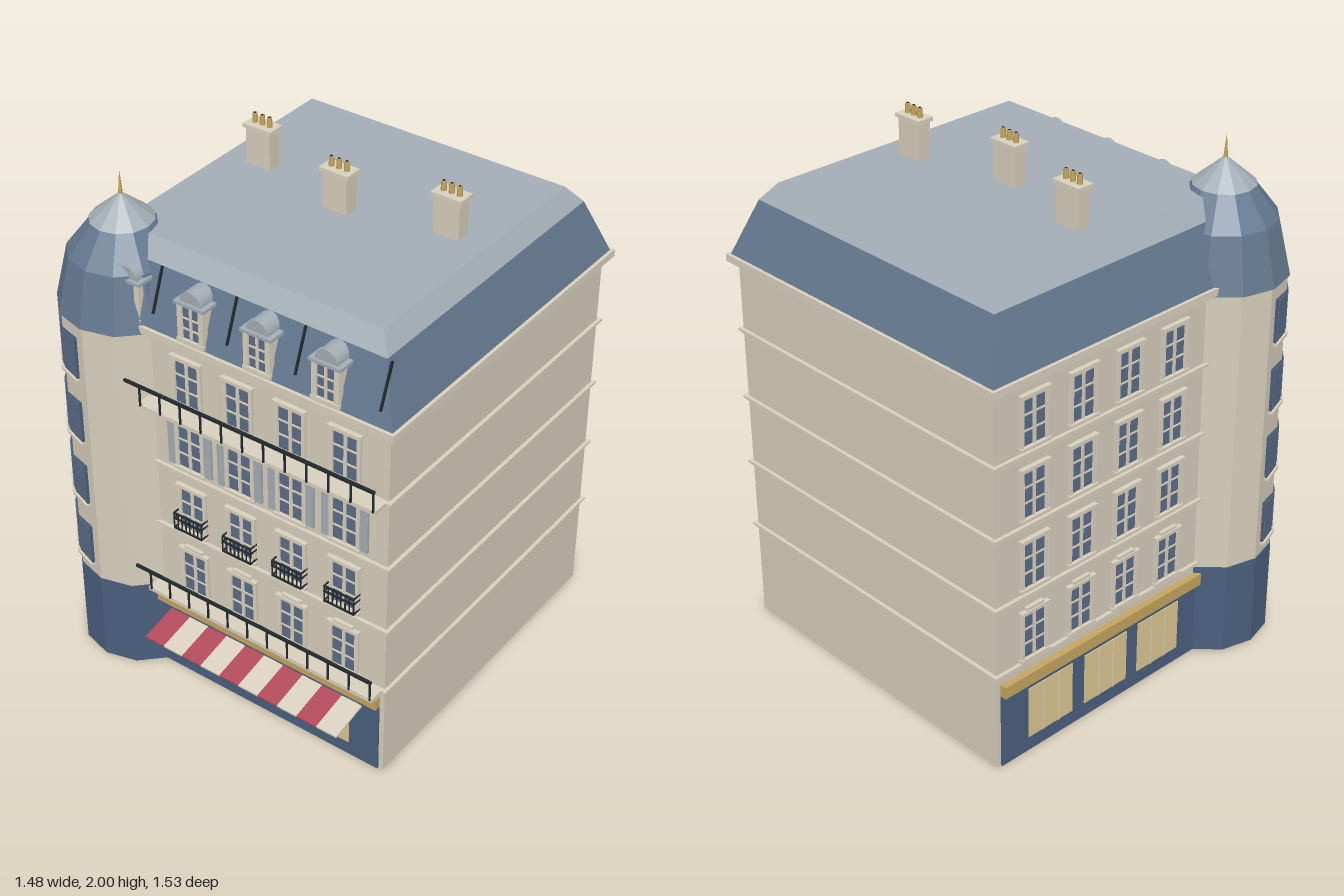
import * as THREE from 'three';

const mat = (name, color) => {
  const m = new THREE.MeshStandardMaterial({ color });
  m.name = name;
  return m;
};

export function createModel() {
  const M = {
    wall: mat('limestone wall', 0xd6cdbb), trim: mat('pale stone trim', 0xd9d0be),
    slate: mat('blue slate', 0x64788f), zinc: mat('zinc', 0xa3adb5),
    glass: mat('window glass', 0x5c6d88), navy: mat('navy shopfront', 0x4a5f7d),
    gold: mat('gold', 0xc4a460), lit: mat('lit shop glass', 0xdcc592),
    red: mat('awning red', 0xb24a5a), iron: mat('black iron', 0x22292d),
  };
  const model = new THREE.Group();
  model.name = 'cornerBuilding';

  const group = (name, parent = model) => {
    const g = new THREE.Group();
    g.name = name;
    parent.add(g);
    return g;
  };
  const add = (parent, name, geo, material, x = 0, y = 0, z = 0) => {
    const m = new THREE.Mesh(geo, material);
    m.name = name;
    m.position.set(x, y, z);
    parent.add(m);
    return m;
  };
  // box given by its limits
  const box = (parent, name, material, x0, x1, y0, y1, z0, z1) =>
    add(parent, name, new THREE.BoxGeometry(x1 - x0, y1 - y0, z1 - z0), material,
      (x0 + x1) / 2, (y0 + y1) / 2, (z0 + z1) / 2);
  const flat = (geo) => {
    const g = geo.toNonIndexed();
    g.computeVertexNormals();
    return g;
  };

  // Main block: square plan around (CX, CZ)
  const CX = 0.049, CZ = -0.077, H = 0.661, FRONT = CZ + H, LEFT = CX - H;
  const slab = (name, material, half, y0, y1) =>
    box(model, name, material, CX - half, CX + half, y0, y1, CZ - half, CZ + half);
  slab('mainWalls', M.wall, H, 0, 1.5);
  for (const y of [0.378, 0.655, 0.933, 1.212]) {
    slab('stringCourse', M.trim, H + 0.008, y, y + 0.008);
    slab('stringCourse', M.trim, H + 0.014, y + 0.008, y + 0.018);
  }
  slab('cornice', M.trim, H + 0.031, 1.497, 1.525);

  // Mansard roof: two square frustums
  const frustum = (name, material, h0, h1, y0, y1) => {
    const g = new THREE.CylinderGeometry(h1 * Math.SQRT2, h0 * Math.SQRT2, y1 - y0, 4);
    g.rotateY(Math.PI / 4);
    add(model, name, flat(g), material, CX, (y0 + y1) / 2, CZ);
  };
  frustum('mansardSlope', M.slate, 0.679, 0.6, 1.525, 1.735);
  frustum('upperRoof', M.zinc, 0.6, 0.549, 1.735, 1.8);

  // One tall window: s across, base height y, local z pointing outwards
  const windowAt = (parent, s, y, floor, shutters) => {
    const w = group('window', parent), h = 0.19, a = 0.063;
    w.position.set(s, y, 0);
    box(w, 'glass', M.glass, -0.052, 0.052, 0, h, -0.01, 0.004);
    for (const k of [-1, 1]) box(w, 'jamb', M.trim, k * 0.056 - 0.007, k * 0.056 + 0.007, 0, h, -0.01, 0.012);
    box(w, 'head', M.trim, -a, a, h - 0.012, h, -0.01, 0.012);
    box(w, 'lintel', M.trim, -a - 0.004, a + 0.004, h, h + 0.008, -0.01, 0.018);
    if (floor === 0) box(w, 'pediment', M.trim, -0.04, 0.04, h + 0.008, h + 0.02, -0.01, 0.014);
    box(w, 'sill', M.trim, -a - 0.004, a + 0.004, -0.01, 0.002, -0.01, 0.018);
    box(w, 'mullion', M.trim, -0.006, 0.006, 0, h, -0.01, 0.009);
    for (const v of [0.06, 0.12]) box(w, 'glazingBar', M.trim, -0.05, 0.05, v - 0.003, v + 0.003, -0.01, 0.008);
    if (shutters) {
      for (const k of [-1, 1]) box(w, 'shutter', M.zinc, k * 0.08 - 0.016, k * 0.08 + 0.016, 0, 0.18, -0.01, 0.01);
    }
  };

  // Facade: upper windows and shopfront; map turns a front x into the local coordinate
  const FLOORS = [0.408, 0.697, 0.976, 1.252];
  const COLUMNS = [-0.127, 0.093, 0.313, 0.537];
  const facade = (name, map, shutters) => {
    const f = group(name);
    const span = (part, material, s0, s1, y0, y1, depth) => {
      const [a, b] = [map(s0), map(s1)].sort((p, q) => p - q);
      box(f, part, material, a, b, y0, y1, -0.01, depth);
    };
    FLOORS.forEach((y, i) => COLUMNS.forEach((s) => windowAt(f, map(s), y, i, shutters && i === 2)));
    span('shopPanel', M.navy, -0.3, 0.69, 0, 0.3, 0.008);
    span('shopSign', M.gold, -0.3, 0.69, 0.3, 0.348, 0.026);
    for (const s of [-0.195, 0.077, 0.352]) {
      span('shopWindow', M.lit, s, s + 0.213, 0.06, 0.27, 0.012);
      for (const k of [0.07, 0.143]) span('shopGlazingBar', M.trim, s + k - 0.002, s + k + 0.002, 0.06, 0.27, 0.015);
    }
    return f;
  };
  const front = facade('frontFacade', (s) => s, true);
  front.position.z = FRONT;
  const side = facade('sideFacade', (s) => -0.029 - s, false);
  side.rotation.y = -Math.PI / 2;
  side.position.x = LEFT;

  // Long balconies
  for (const y of [0.396, 1.23]) {
    const b = group('longBalcony');
    box(b, 'balconySlab', M.trim, -0.3, 0.704, y - 0.016, y, FRONT - 0.01, 0.656);
    box(b, 'handrail', M.iron, -0.35, 0.704, y + 0.076, y + 0.086, 0.655, 0.665);
    for (let i = 0; i < 12; i++) {
      const x = -0.285 + i * 0.0893;
      box(b, 'railPost', M.iron, x - 0.003, x + 0.003, y - 0.004, y + 0.08, 0.655, 0.661);
    }
  }
  // Small window railings on the second floor
  for (const s of COLUMNS) {
    const b = group('windowRailing');
    for (const y of [0.709, 0.752, 0.775]) {
      box(b, 'rail', M.iron, s - 0.064, s + 0.064, y - 0.003, y + 0.003, 0.618, 0.624);
      for (const k of [-1, 1]) box(b, 'sideRail', M.iron, s + k * 0.062 - 0.002, s + k * 0.062 + 0.002, y - 0.003, y + 0.003, FRONT, 0.62);
    }
    for (let i = 0; i < 8; i++) {
      const x = s - 0.062 + (i * 0.124) / 7;
      box(b, 'baluster', M.iron, x - 0.002, x + 0.002, 0.708, 0.777, 0.619, 0.623);
    }
  }

  // Striped awning
  const awning = group('awning');
  awning.position.set(0, 0.272, 0.685);
  awning.rotation.x = 0.2;
  for (let i = 0; i < 10; i++) {
    const x = -0.235 + i * 0.0866;
    box(awning, 'awningStripe', i % 2 ? M.trim : M.red, x, x + 0.0866, -0.004, 0.004, -0.078, 0.078);
  }

  // Dormers and the iron strips between them
  for (const x of [-0.365, -0.089, 0.189, 0.466]) {
    const d = group('dormer');
    d.position.x = x;
    box(d, 'dormerBody', M.trim, -0.05, 0.05, 1.53, 1.68, 0.5, 0.594);
    box(d, 'dormerGlass', M.glass, -0.036, 0.036, 1.545, 1.668, 0.59, 0.598);
    for (const k of [-1, 1]) box(d, 'dormerJamb', M.trim, k * 0.045 - 0.01, k * 0.045 + 0.01, 1.527, 1.68, 0.58, 0.606);
    box(d, 'dormerSill', M.trim, -0.058, 0.058, 1.527, 1.545, 0.58, 0.609);
    box(d, 'dormerMullion', M.trim, -0.005, 0.005, 1.545, 1.67, 0.59, 0.603);
    for (const y of [1.585, 1.627]) box(d, 'dormerBar', M.trim, -0.036, 0.036, y - 0.003, y + 0.003, 0.59, 0.602);
    box(d, 'dormerCap', M.zinc, -0.064, 0.064, 1.678, 1.69, 0.53, 0.611);
    const arch = new THREE.CylinderGeometry(0.045, 0.045, 0.08, 12, 1, false, Math.PI / 2, Math.PI);
    arch.rotateX(Math.PI / 2);
    add(d, 'dormerArch', arch, M.zinc, 0, 1.69, 0.56);
  }
  for (const x of [-0.265, 0.052, 0.333, 0.67]) {
    const strip = add(model, 'roofStrip', new THREE.BoxGeometry(0.006, 0.17, 0.012), M.iron, x, 1.657, 0.557);
    strip.rotation.x = -Math.atan2(0.079, 0.21);
  }

  // Twelve-sided corner tower
  const tower = group('cornerTower');
  tower.position.set(-0.491, 0, 0.465);
  const drum = (name, r, y0, y1, material) =>
    add(tower, name, flat(new THREE.CylinderGeometry(r, r, y1 - y0, 12)), material, 0, (y0 + y1) / 2, 0);
  drum('towerBase', 0.243, 0, 0.372, M.navy);
  drum('towerWalls', 0.24, 0.372, 1.5, M.wall);
  const lathe = (name, points, material) =>
    add(tower, name, flat(new THREE.LatheGeometry(points.map((p) => new THREE.Vector2(...p)), 12)), material);
  lathe('towerDome', [[0, 1.492], [0.249, 1.492], [0.2, 1.7], [0.108, 1.82]], M.slate);
  lathe('towerCap', [[0.05, 1.812], [0.116, 1.818], [0, 1.918]], M.zinc);
  add(tower, 'finial', new THREE.ConeGeometry(0.009, 0.1, 8), M.gold, 0, 1.95, 0);

  // Tower windows, three per floor facing the corner
  for (const y of [0.425, 0.705, 0.985, 1.262]) {
    for (const deg of [-20, -45, -70]) {
      const w = group('towerWindow', tower);
      w.rotation.y = THREE.MathUtils.degToRad(deg);
      box(w, 'towerWindowFrame', M.navy, -0.046, 0.046, y, y + 0.172, 0.2, 0.238);
      box(w, 'towerGlass', M.glass, -0.04, 0.04, y + 0.006, y + 0.166, 0.23, 0.241);
      box(w, 'towerSill', M.trim, -0.05, 0.05, y - 0.01, y, 0.2, 0.247);
    }
  }

  // Chimneys with three pots each
  for (const [x, z] of [[-0.348, -0.131], [0.049, -0.042], [0.446, -0.131]]) {
    const c = group('chimney');
    c.position.set(x, 0, z);
    box(c, 'chimneyStack', M.wall, -0.052, 0.052, 1.79, 1.945, -0.028, 0.028);
    box(c, 'chimneyCap', M.trim, -0.061, 0.061, 1.942, 1.957, -0.035, 0.035);
    for (const k of [-0.032, 0, 0.032]) {
      add(c, 'chimneyPot', new THREE.CylinderGeometry(0.009, 0.011, 0.04, 10), M.gold, k, 1.973, 0);
      add(c, 'potOpening', new THREE.CylinderGeometry(0.005, 0.005, 0.003, 10), M.iron, k, 1.993, 0);
    }
  }
  return model;
}
